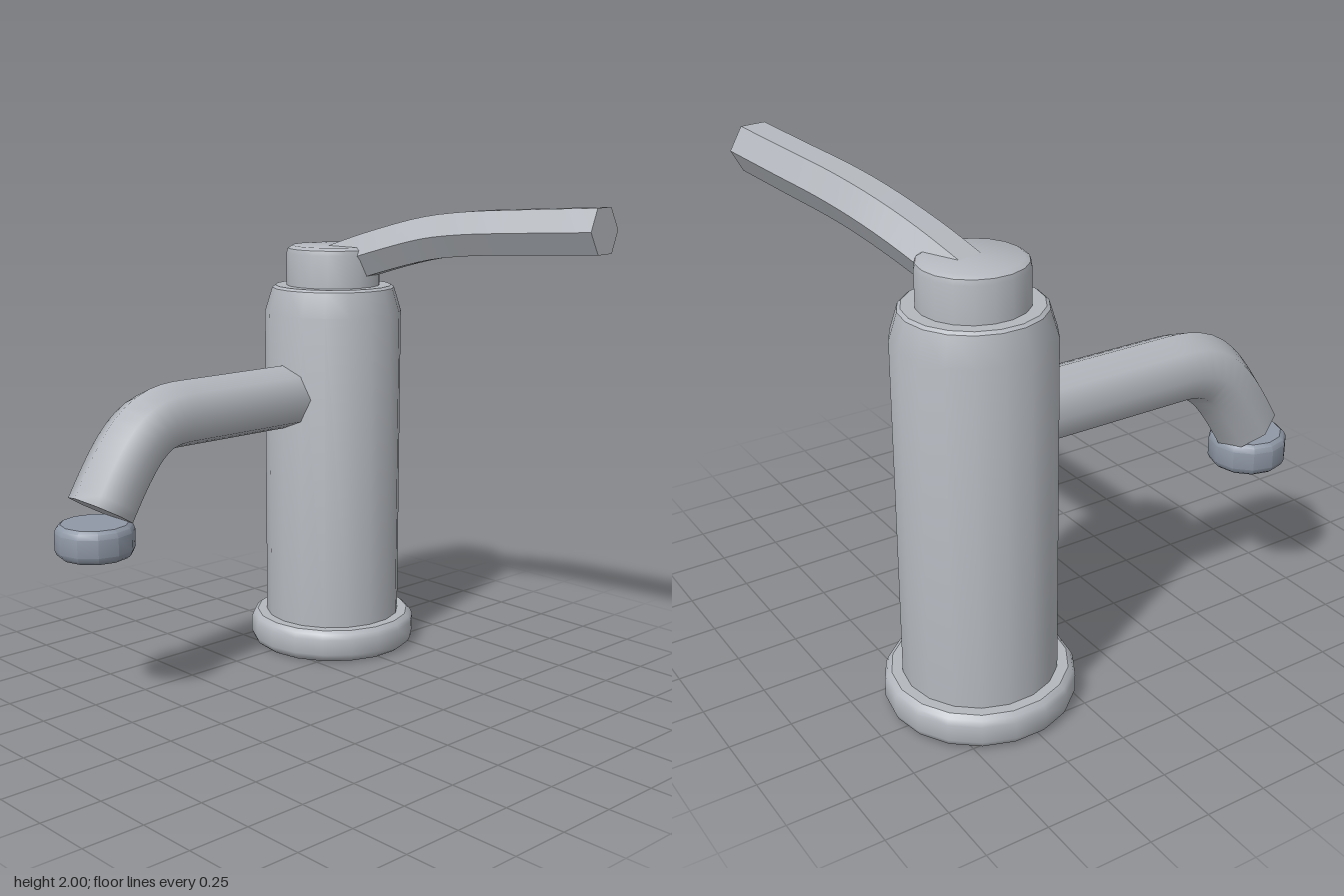
import * as THREE from 'three';
import { toCreasedNormals } from 'three/addons/utils/BufferGeometryUtils.js';

const V = (x, y, z) => new THREE.Vector3(x, y, z);
const CX = -0.46, CZ = -0.543; // column axis

// Closed polygonal tube whose cross-section stays level along the path
function sweep(curve, steps, sides, radius, crease) {
  const pos = [], index = [];
  const up = V(0, 1, 0);
  for (let i = 0; i <= steps; i++) {
    const c = curve.getPointAt(i / steps), t = curve.getTangentAt(i / steps);
    const s = t.clone().cross(up).normalize(), u = s.clone().cross(t);
    for (let j = 0; j < sides; j++) {
      const a = (j / sides) * Math.PI * 2;
      const p = c.clone().addScaledVector(s, radius * Math.cos(a)).addScaledVector(u, radius * Math.sin(a));
      pos.push(p.x, p.y, p.z);
    }
  }
  const start = pos.length / 3;
  pos.push(...curve.getPointAt(0).toArray(), ...curve.getPointAt(1).toArray());
  for (let j = 0; j < sides; j++) {
    const k = (j + 1) % sides, last = steps * sides;
    for (let i = 0; i < steps; i++) {
      const a = i * sides, b = a + sides;
      index.push(a + j, b + j, a + k, a + k, b + j, b + k);
    }
    index.push(start, j, k, start + 1, last + k, last + j);
  }
  const g = new THREE.BufferGeometry();
  g.setAttribute('position', new THREE.Float32BufferAttribute(pos, 3));
  g.setIndex(index);
  return toCreasedNormals(g, crease);
}

// Turned part from [radius, height] pairs
function turned(profile, sides) {
  const pts = profile.map(([r, y]) => new THREE.Vector2(r, y));
  return toCreasedNormals(new THREE.LatheGeometry(pts, sides), 0.6);
}

// Disc with rounded rims
function roundedDisc(r, y0, y1, b, sides) {
  return turned([
    [0, y0], [r - b, y0], [r - b * 0.35, y0 + b * 0.5], [r, y0 + b * 1.3],
    [r, y1 - b * 1.3], [r - b * 0.35, y1 - b * 0.5], [r - b, y1], [0, y1],
  ], sides);
}

export function createModel() {
  const group = new THREE.Group();
  const metal = new THREE.MeshStandardMaterial({ color: 0xb4b8be });
  metal.name = 'brushed metal';
  const darkMetal = new THREE.MeshStandardMaterial({ color: 0x8f98a6 });
  darkMetal.name = 'blue grey metal';

  const add = (name, geometry, material, x = 0, z = 0) => {
    const mesh = new THREE.Mesh(geometry, material);
    mesh.name = name;
    mesh.position.set(x, 0, z);
    group.add(mesh);
  };

  // Upright column
  add('baseFlange', roundedDisc(0.37, 0, 0.14, 0.028, 18), metal, CX, CZ);
  add('body', turned([[0, 0.1], [0.3, 0.1], [0.3, 1.51], [0.268, 1.615], [0.255, 1.625], [0, 1.625]], 18), metal, CX, CZ);
  add('cap', turned([[0, 1.6], [0.205, 1.6], [0.205, 1.765], [0.199, 1.785], [0.18, 1.797], [0, 1.797]], 18), metal, CX, CZ);

  // Spout: level run, then a downward bend
  const spoutPath = new THREE.CurvePath();
  spoutPath.add(new THREE.LineCurve3(V(CX, 1.158, CZ), V(CX, 1.158, 0.33)));
  spoutPath.add(new THREE.CubicBezierCurve3(
    V(CX, 1.158, 0.33), V(CX, 1.158, 0.5), V(CX, 1.09, 0.57), V(CX, 0.822, 0.724)));
  add('spout', sweep(spoutPath, 32, 8, 0.138, 0.9), metal);

  // Outlet ring under the spout tip
  add('aerator', roundedDisc(0.16, 0.643, 0.778, 0.024, 12), darkMetal, CX, 0.754);

  // Six-sided lever rising out of the cap
  const leverPath = new THREE.CatmullRomCurve3([
    V(-0.48, 1.695, -0.55), V(-0.25, 1.775, -0.605), V(0, 1.845, -0.667),
    V(0.2, 1.873, -0.7), V(0.5, 1.893, -0.741), V(0.81, 1.91, -0.778),
  ]);
  add('lever', sweep(leverPath, 20, 6, 0.104, 0.6), metal);

  return group;
}
